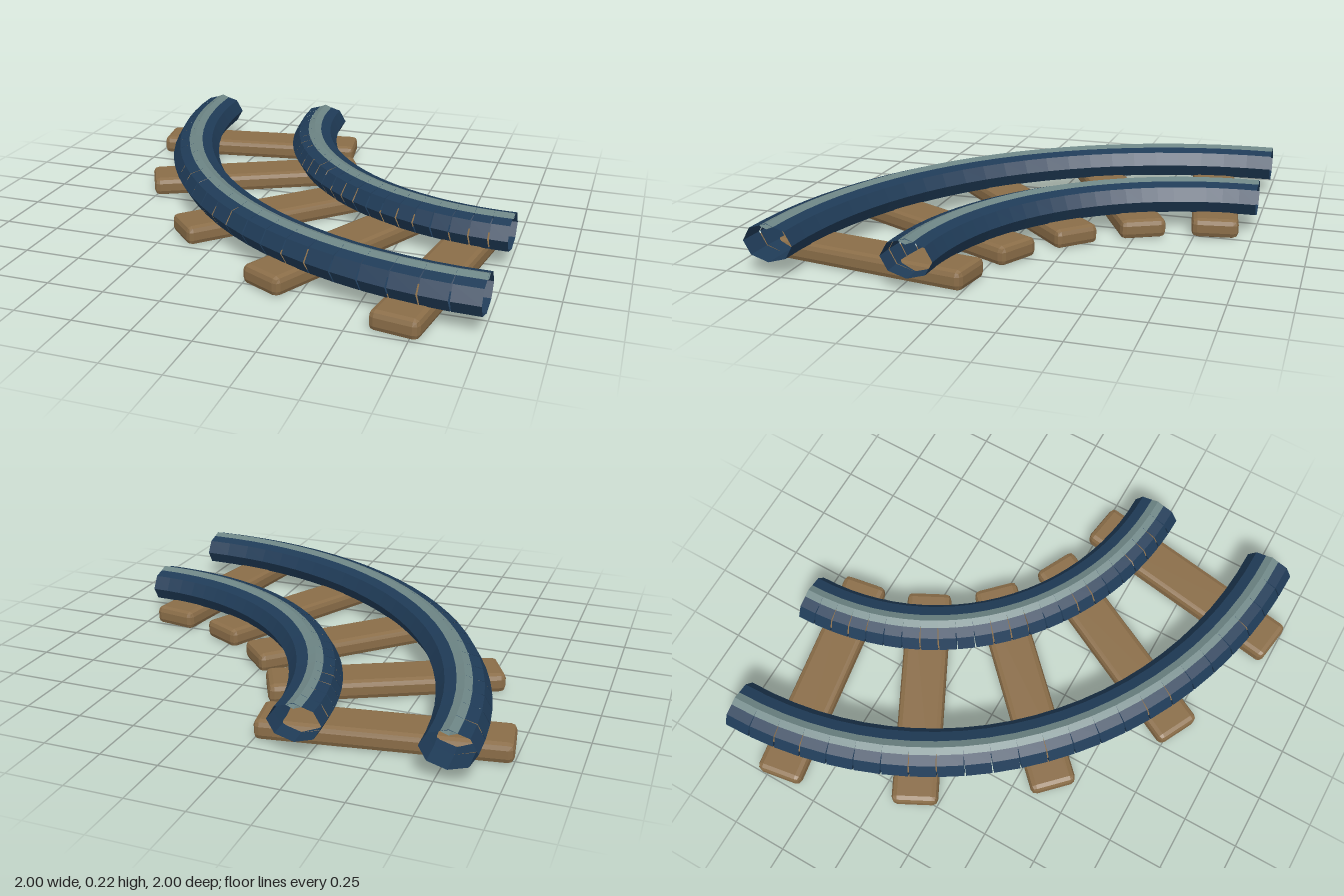
import * as THREE from 'three';
import { mergeGeometries } from 'three/addons/utils/BufferGeometryUtils.js';
import { RoundedBoxGeometry } from 'three/addons/geometries/RoundedBoxGeometry.js';

const SEGMENTS = 24;
const ARC = Math.PI / 2;

// Quarter ring of straight open prisms, leaving fine wedge gaps on the outer side
function segmentedArc(radius, y, halfWidth, halfHeight, sides) {
  const step = ARC / SEGMENTS;
  const pieces = [];
  for (let i = 0; i < SEGMENTS; i++) {
    const piece = new THREE.CylinderGeometry(1, 1, radius * step, sides, 1, true);
    piece.rotateX(Math.PI / 2);
    piece.scale(halfWidth, halfHeight, 1);
    piece.translate(-radius, y, 0);
    piece.rotateY((i + 0.5) * step);
    pieces.push(piece);
  }
  return mergeGeometries(pieces);
}

export function createModel() {
  const wood = new THREE.MeshStandardMaterial({ color: 0x8a6d48, flatShading: true });
  wood.name = 'wood';
  // The rails are hollow with open ends, so their insides show too
  const blue = new THREE.MeshStandardMaterial({ color: 0x1f3b57, flatShading: true, side: THREE.DoubleSide });
  blue.name = 'rail blue';
  const steel = new THREE.MeshStandardMaterial({ color: 0x6d8585, flatShading: true, side: THREE.DoubleSide });
  steel.name = 'worn steel';

  const model = new THREE.Group();
  model.name = 'curvedTrack';

  // Everything turns about the corner at (1, -1)
  const track = new THREE.Group();
  track.name = 'track';
  track.position.set(1, 0, -1);
  model.add(track);

  const add = (name, geometry, material) => {
    const mesh = new THREE.Mesh(geometry, material);
    mesh.name = name;
    track.add(mesh);
  };

  // Two rails, each with a pale worn ridge along the top
  for (const [side, radius] of [['outer', 1.8], ['inner', 1.2]]) {
    add(`${side}Rail`, segmentedArc(radius, 0.14, 0.112, 0.081, 8), blue);
    add(`${side}RailRidge`, segmentedArc(radius, 0.2115, 0.032, 0.0125, 4), steel);
  }

  // Five bevelled sleepers fanned around the curve
  for (let i = 0; i < 5; i++) {
    const sleeper = new RoundedBoxGeometry(1.015, 0.086, 0.206, 1, 0.025);
    sleeper.translate(-1.505, 0.043, 0);
    sleeper.rotateY((i + 0.5) * ARC / 5);
    add(`sleeper${i + 1}`, sleeper, wood);
  }

  return model;
}
